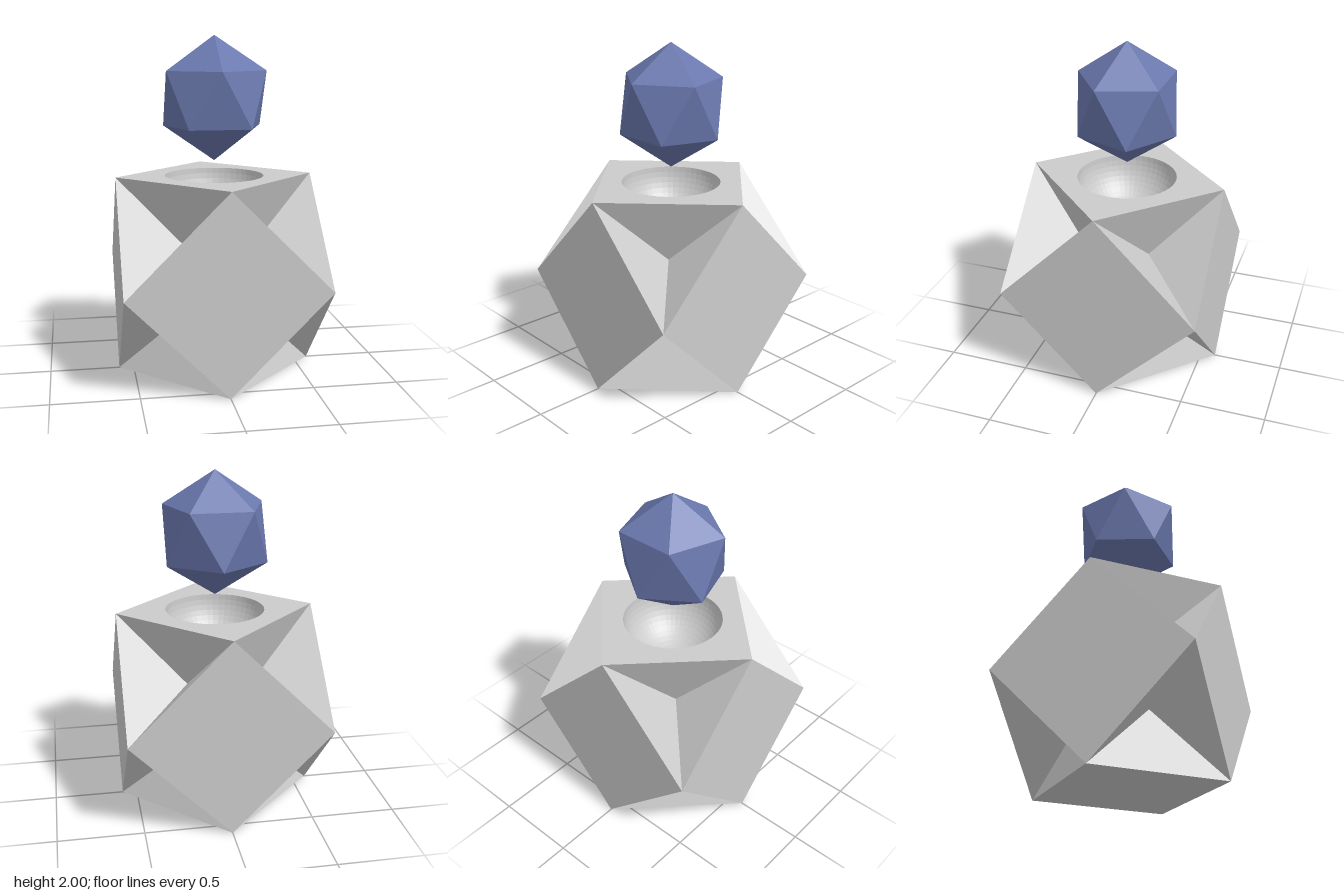
import * as THREE from 'three';
import { ConvexGeometry } from 'three/addons/geometries/ConvexGeometry.js';

const A = 0.588; // half width of the body
const BOWL = 0.294; // radius of the bowl in the top
const DENT = 0.34; // dent apex, as a fraction of A along each axis

const grey = new THREE.MeshStandardMaterial({ color: 0xcccccc, flatShading: true });
const blue = new THREE.MeshStandardMaterial({ color: 0x6a78ae, flatShading: true });

function mesh(name, geometry, material = grey) {
  const m = new THREE.Mesh(geometry, material);
  m.name = name;
  return m;
}

// Diamond face in the xy plane, optionally with a round hole
function diamond(holeRadius = 0) {
  const s = new THREE.Shape();
  s.moveTo(A, 0).lineTo(0, A).lineTo(-A, 0).lineTo(0, -A).closePath();
  if (holeRadius) s.holes.push(new THREE.Path().absarc(0, 0, holeRadius, 0, Math.PI * 2, true));
  return new THREE.ShapeGeometry(s, 24);
}

// Three-sided pyramid pressed into each triangular corner of a cuboctahedron
function cornerDents() {
  const pos = [];
  for (const x of [A, -A]) for (const y of [A, -A]) for (const z of [A, -A]) {
    const rim = [[x, y, 0], [0, y, z], [x, 0, z]];
    const apex = [x * DENT, y * DENT, z * DENT];
    const mirrored = x * y * z < 0;
    for (let i = 0; i < 3; i++) {
      const p = rim[i], q = rim[(i + 1) % 3];
      // the rim runs counter-clockwise seen from outside, except in mirrored corners
      pos.push(...(mirrored ? q : p), ...(mirrored ? p : q), ...apex);
    }
  }
  const g = new THREE.BufferGeometry();
  g.setAttribute('position', new THREE.Float32BufferAttribute(pos, 3));
  g.computeVertexNormals();
  return g;
}

export function createModel() {
  const model = new THREE.Group();
  model.name = 'model';

  // Body with six diamond faces and eight dented corners
  const body = new THREE.Group();
  body.name = 'body';
  body.position.y = A;
  model.add(body);

  for (let i = 0; i < 4; i++) {
    const side = diamond().translate(0, 0, A).rotateY((i * Math.PI) / 2);
    body.add(mesh('sideFace', side));
  }
  body.add(mesh('bottomFace', diamond().translate(0, 0, A).rotateX(Math.PI / 2)));
  body.add(mesh('topFace', diamond(BOWL).translate(0, 0, A).rotateX(-Math.PI / 2)));
  body.add(mesh('cornerDents', cornerDents()));

  // Hemispherical bowl, profile from the rim down so it faces inward
  const profile = [];
  for (let i = 0; i <= 14; i++) {
    const t = (i / 14) * Math.PI / 2;
    profile.push(new THREE.Vector2(i === 14 ? 0 : BOWL * Math.cos(t), -BOWL * Math.sin(t)));
  }
  const bowl = mesh('bowl', new THREE.LatheGeometry(profile, 48));
  bowl.position.y = A;
  body.add(bowl);

  // Floating icosahedron, slightly stretched: two poles and two rings of five
  const H = 0.367, RX = 0.309, RZ = 0.294;
  const points = [new THREE.Vector3(0, H, 0), new THREE.Vector3(0, -H, 0)];
  for (let i = 0; i < 5; i++) {
    const t = (i * Math.PI * 2) / 5;
    const p = new THREE.Vector3(RX * Math.sin(t), H / Math.sqrt(5), RZ * Math.cos(t));
    points.push(p, p.clone().negate());
  }
  const gem = mesh('floatingIcosahedron', new ConvexGeometry(points), blue);
  gem.position.y = 2 - H;
  model.add(gem);

  return model;
}
